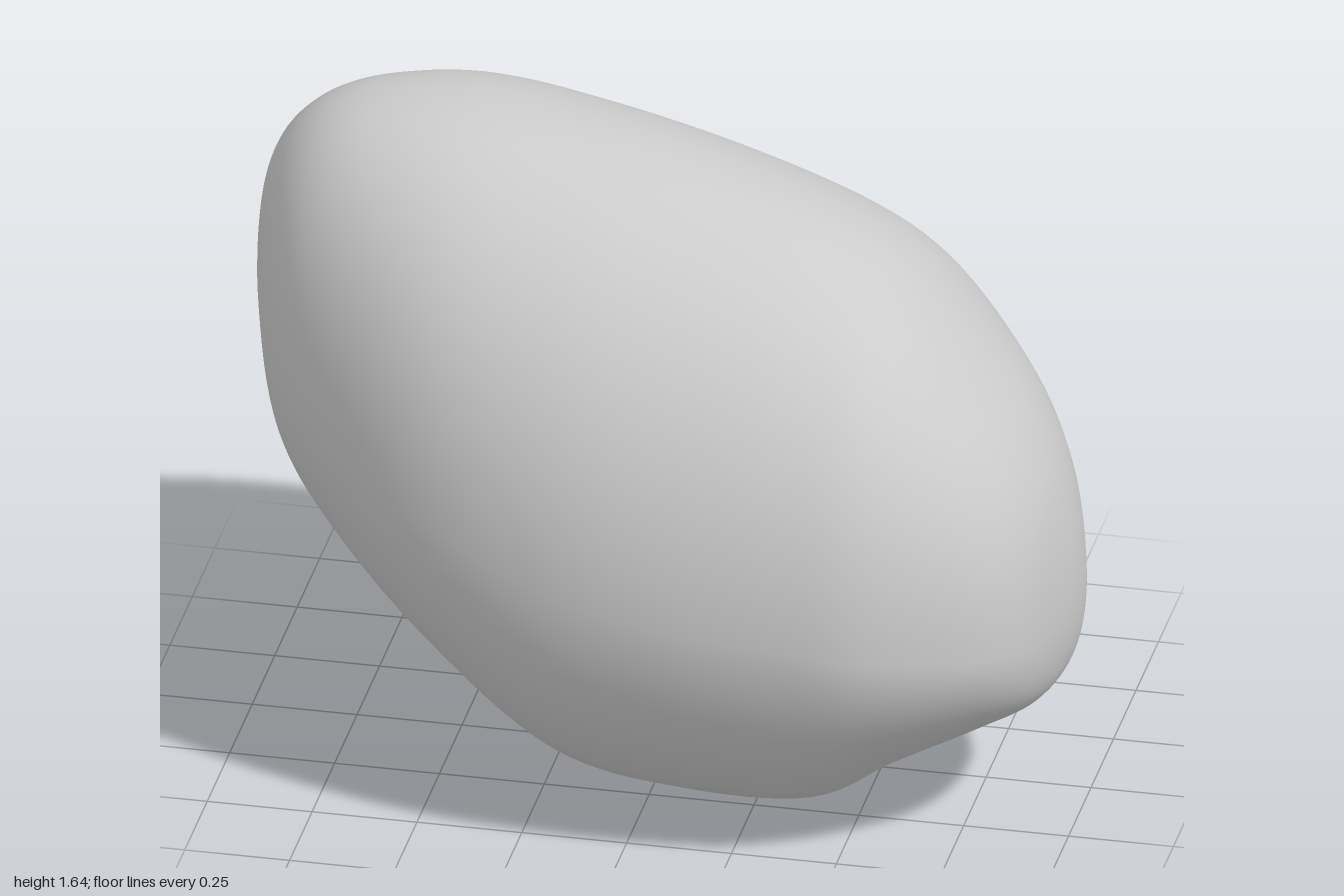
import * as THREE from 'three';
import { mergeVertices } from 'three/addons/utils/BufferGeometryUtils.js';

// Cross-sections along x: each is a lopsided oval described by its four extremes.
// x, top y, bottom y, front z, back z, z of top, z of bottom, y of front, y of back
const sections = [
  [-1.00, 1.16, 1.16, -0.10, -0.10, -0.10, -0.10, 1.16, 1.16],
  [-0.98, 1.38, 0.95, 0.03, -0.22, -0.10, -0.09, 1.13, 1.15],
  [-0.90, 1.53, 0.72, 0.25, -0.34, -0.08, -0.05, 1.06, 1.08],
  [-0.75, 1.62, 0.54, 0.41, -0.49, -0.05, -0.01, 0.97, 0.97],
  [-0.50, 1.647, 0.32, 0.57, -0.645, -0.02, 0.04, 0.85, 0.87],
  [-0.20, 1.61, 0.09, 0.67, -0.70, 0.00, 0.08, 0.74, 0.84],
  [0.10, 1.54, 0.015, 0.71, -0.71, 0.02, 0.09, 0.68, 0.84],
  [0.40, 1.44, 0.02, 0.705, -0.675, 0.04, 0.09, 0.65, 0.82],
  [0.60, 1.325, 0.14, 0.67, -0.60, 0.06, 0.06, 0.62, 0.77],
  [0.80, 1.11, 0.25, 0.56, -0.41, 0.09, 0.06, 0.59, 0.68],
  [0.92, 0.925, 0.32, 0.43, -0.21, 0.11, 0.08, 0.57, 0.61],
  [0.98, 0.74, 0.41, 0.25, -0.04, 0.10, 0.09, 0.56, 0.57],
  [1.00, 0.55, 0.55, 0.09, 0.09, 0.09, 0.09, 0.55, 0.55],
];

// Fullness of each section's quarters (2 is an ellipse, more is boxier):
// upper front, upper back, lower front, lower back
const fullness = [
  [2.0, 2.0, 2.0, 2.0],
  [2.0, 2.0, 2.0, 2.0],
  [2.1, 2.0, 2.1, 2.0],
  [2.15, 2.05, 2.15, 2.0],
  [2.1, 2.05, 2.2, 2.0],
  [2.0, 1.9, 2.1, 1.95],
  [1.95, 1.8, 1.9, 1.9],
  [2.05, 1.75, 1.85, 1.85],
  [2.2, 1.75, 1.9, 1.9],
  [2.35, 1.85, 1.95, 2.0],
  [2.3, 2.0, 2.0, 2.0],
  [2.1, 2.0, 2.0, 2.0],
  [2.0, 2.0, 2.0, 2.0],
];

// Mirrored copy of a section, used beyond each end so the tips close roundly.
const ghost = ([x, t, b, f, k, zt, zb, yf, yk]) => [x, b, t, k, f, zb, zt, yk, yf];

// Smooth blend between neighbouring rows of a table.
function blend(rows, u, before, after) {
  const i = Math.min(Math.floor(u), rows.length - 2), t = u - i;
  const p0 = rows[i - 1] ?? before, p1 = rows[i];
  const p2 = rows[i + 1], p3 = rows[i + 2] ?? after;
  return p1.map((b, n) => {
    const a = p0[n], c = p2[n], d = p3[n];
    return b + 0.5 * t * (c - a + t * (2 * a - 5 * b + 4 * c - d + t * (3 * (b - c) + d - a)));
  });
}

function stoneGeometry(steps = 8, sides = 80) {
  const rings = (sections.length - 1) * steps;
  const positions = [], index = [];
  for (let i = 0; i <= rings; i++) {
    const u = i / steps;
    const [x, top, bottom, front, back, zTop, zBottom, yFront, yBack] =
      blend(sections, u, ghost(sections[1]), ghost(sections.at(-2)));
    const full = blend(fullness, u, fullness[0], fullness.at(-1));
    for (let j = 0; j < sides; j++) {
      const a = (j / sides) * Math.PI * 2;
      const c = Math.cos(a), s = Math.sin(a);
      const power = 2 / full[(s > 0 ? 0 : 2) + (c > 0 ? 0 : 1)];
      const zMid = s > 0 ? zTop : zBottom;
      const yMid = c > 0 ? yFront : yBack;
      const z = zMid + Math.abs(c) ** power * ((c > 0 ? front : back) - zMid);
      const y = yMid + Math.abs(s) ** power * ((s > 0 ? top : bottom) - yMid);
      positions.push(x, y, z);
      if (i < rings) {
        // first and last rings are single points, so they get one triangle per side
        const k = (j + 1) % sides, p = i * sides, q = p + sides;
        if (i < rings - 1) index.push(p + j, q + j, q + k);
        else index.push(p + j, q + j, p + k);
        if (i > 0 && i < rings - 1) index.push(p + j, q + k, p + k);
      }
    }
  }
  const geometry = new THREE.BufferGeometry();
  geometry.setAttribute('position', new THREE.Float32BufferAttribute(positions, 3));
  geometry.setIndex(index);
  const merged = mergeVertices(geometry, 1e-5);
  merged.computeVertexNormals();
  return merged;
}

export function createModel() {
  const model = new THREE.Group();
  model.name = 'boulder';
  const material = new THREE.MeshStandardMaterial({ color: 0xcccccc, roughness: 0.9 });
  const stone = new THREE.Mesh(stoneGeometry(), material);
  stone.name = 'stone';

  // rest the stone on the ground, centred
  stone.geometry.computeBoundingBox();
  const box = stone.geometry.boundingBox;
  const centre = box.getCenter(new THREE.Vector3());
  stone.geometry.translate(-centre.x, -box.min.y, -centre.z);
  model.add(stone);
  return model;
}
